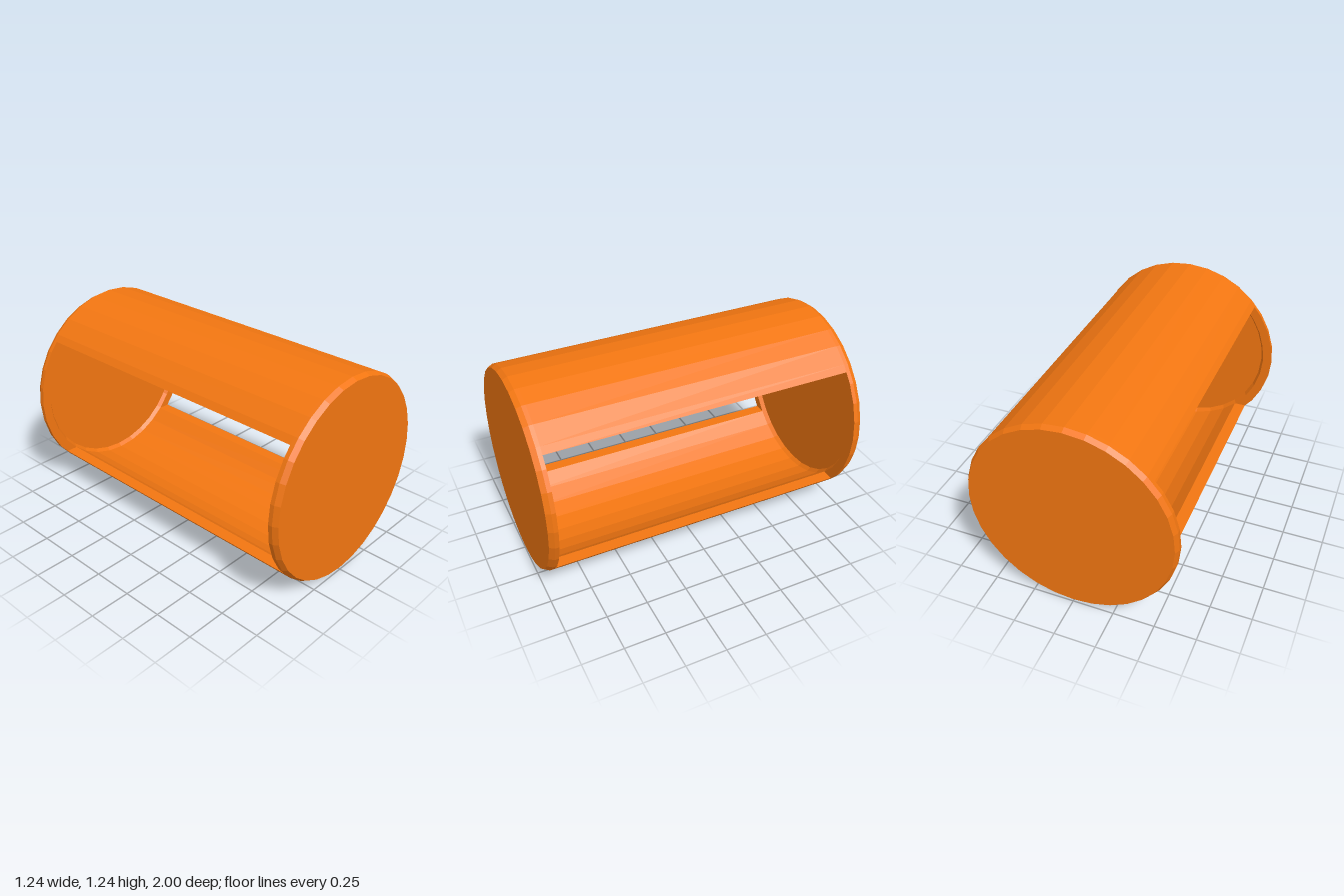
import * as THREE from 'three';

const SIDES = 32;
const R_OUT = 0.622;      // outer radius
const R_IN = 0.565;       // cavity radius
const CY = 0.624;         // height of the axis
const WINDOW_Y = 0.403;   // half height of the side windows
const WINDOW_Z = 0.945;   // half length of the side windows

// Points of a regular polygon above the window height, left to right,
// ending exactly where its sides cross that height
function clippedArc(radius) {
  const at = (k) => {
    const a = (k * 2 * Math.PI) / SIDES;
    return new THREE.Vector2(radius * Math.sin(a), radius * Math.cos(a));
  };
  let k = 0;
  while (at(k + 1).y > WINDOW_Y) k++;
  const p = at(k), q = at(k + 1);
  const end = p.clone().lerp(q, (p.y - WINDOW_Y) / (p.y - q.y));
  const points = [new THREE.Vector2(-end.x, end.y)];
  for (let i = -k; i <= k; i++) points.push(at(i));
  points.push(end);
  return points;
}

export function createModel() {
  const group = new THREE.Group();
  group.name = 'windowedDrum';
  const material = new THREE.MeshStandardMaterial({ color: 0xf27611, flatShading: true });

  const add = (name, geometry, turnZ = 0, turnY = 0) => {
    const mesh = new THREE.Mesh(geometry, material);
    mesh.name = name;
    mesh.position.y = CY;
    mesh.rotation.set(0, turnY, turnZ);
    group.add(mesh);
  };

  // Curved walls above and below the windows
  const section = new THREE.Shape([...clippedArc(R_OUT), ...clippedArc(R_IN).reverse()]);
  const wall = new THREE.ExtrudeGeometry(section, { depth: 2 * WINDOW_Z, bevelEnabled: false });
  wall.translate(0, 0, -WINDOW_Z);
  add('topWall', wall);
  add('bottomWall', wall, Math.PI);

  // End caps: chamfered rim outside, shallow chamfered recess inside
  const profile = [
    [0, 0.97], [0.548, 0.97], [R_IN, WINDOW_Z], [R_OUT, WINDOW_Z],
    [R_OUT, 0.97], [0.606, 1], [0, 1],
  ].map(([r, z]) => new THREE.Vector2(r, z));
  const cap = new THREE.LatheGeometry(profile, SIDES).rotateX(Math.PI / 2);
  add('frontCap', cap);
  add('backCap', cap, 0, Math.PI);

  return group;
}
